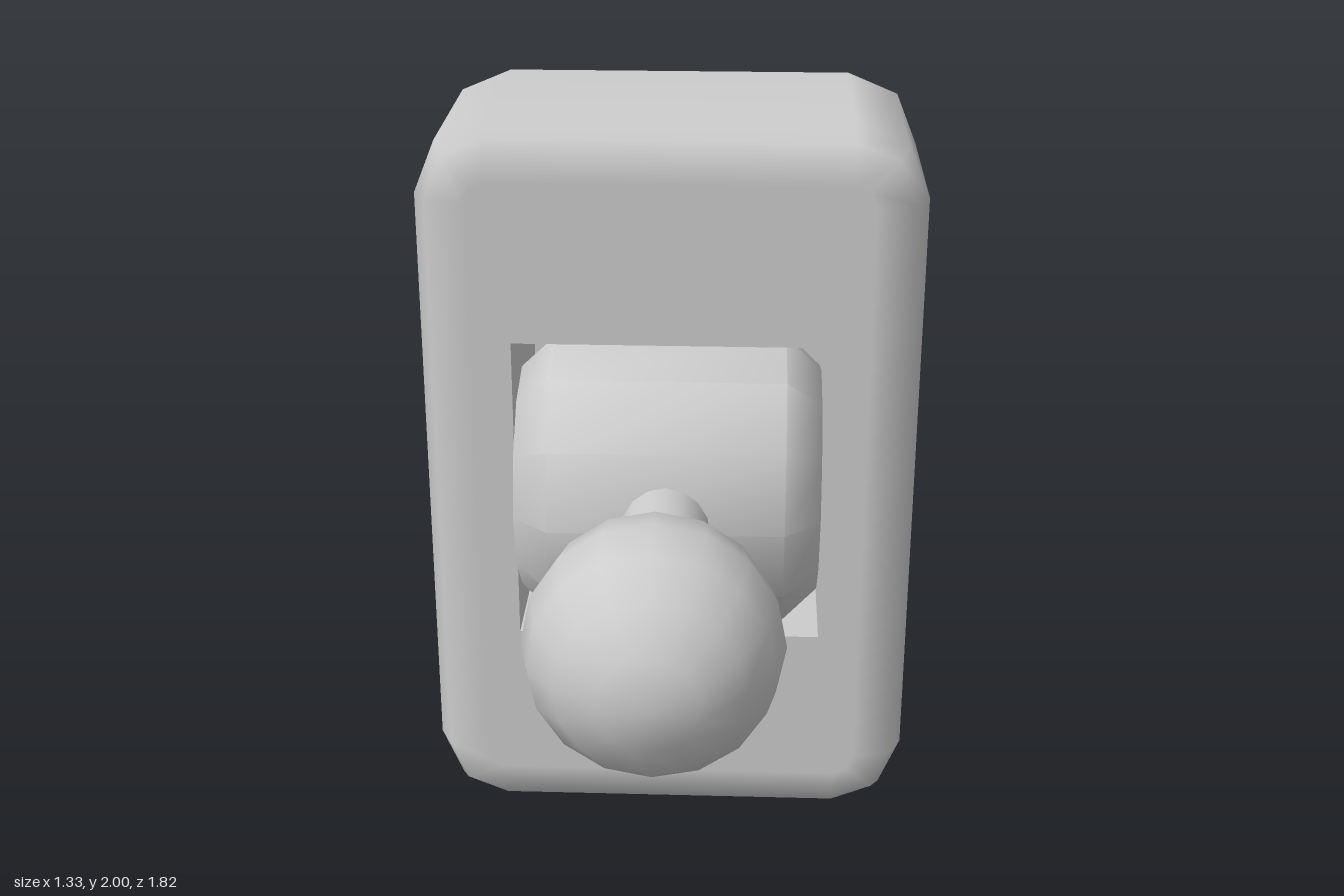
import * as THREE from 'three';
import { toCreasedNormals } from 'three/addons/utils/BufferGeometryUtils.js';

const HX = 0.665, HY = 1, CORNER = 0.195; // housing half sizes and corner radius
const BACK = -0.91, FRONT = -0.245;

// Rounded-rectangle corner points (counter-clockwise), with outward directions
function outline(radius) {
  const points = [];
  [[1, 1], [-1, 1], [-1, -1], [1, -1]].forEach(([sx, sy], quarter) => {
    for (let i = 0; i < 3; i++) {
      const a = quarter * Math.PI / 2 + i * Math.PI / 4;
      const dir = new THREE.Vector2(Math.cos(a), Math.sin(a));
      points.push({ dir, pos: new THREE.Vector2(sx * (HX - CORNER), sy * (HY - CORNER)).addScaledVector(dir, radius) });
    }
  });
  return points;
}

// Housing sides: rings swept from the back to the soft front edge
function sidesGeometry() {
  const rings = [ // radius, z, tilt of the normal towards the front
    [CORNER, BACK, 0], [CORNER, -0.345, 0.1], [CORNER - 0.035, -0.275, 0.9], [CORNER - 0.14, FRONT, Math.PI / 2],
  ];
  const positions = [], normals = [], index = [];
  rings.forEach(([radius, z, tilt], r) => {
    outline(radius).forEach(({ pos, dir }, i) => {
      positions.push(pos.x, pos.y, z);
      normals.push(dir.x * Math.cos(tilt), dir.y * Math.cos(tilt), Math.sin(tilt));
      if (r < rings.length - 1) {
        const a = r * 12 + i, b = r * 12 + (i + 1) % 12;
        index.push(a, b, b + 12, a, b + 12, a + 12);
      }
    });
  });
  const geometry = new THREE.BufferGeometry();
  geometry.setAttribute('position', new THREE.Float32BufferAttribute(positions, 3));
  geometry.setAttribute('normal', new THREE.Float32BufferAttribute(normals, 3));
  geometry.setIndex(index);
  return geometry;
}

// Open-fronted pocket: a box turned inside out, without its front face
function pocketGeometry(w, h, d) {
  const geometry = new THREE.BoxGeometry(w, h, d);
  const index = [...geometry.index.array];
  index.splice(24, 6);
  geometry.setIndex(index.reverse());
  geometry.computeVertexNormals();
  return geometry;
}

function lathe(profile, sides, creaseDegrees) {
  const points = profile.map(([r, y]) => new THREE.Vector2(r, y));
  return toCreasedNormals(new THREE.LatheGeometry(points, sides), THREE.MathUtils.degToRad(creaseDegrees));
}

export function createModel() {
  const model = new THREE.Group();
  const grey = new THREE.MeshStandardMaterial({ color: 0xcccccc });
  grey.name = 'light grey';
  const add = (name, geometry, parent, x = 0, y = 0, z = 0) => {
    const mesh = new THREE.Mesh(geometry, grey);
    mesh.name = name;
    mesh.position.set(x, y, z);
    parent.add(mesh);
    return mesh;
  };

  // Housing
  const housing = new THREE.Group();
  housing.name = 'housing';
  housing.position.y = 1;
  model.add(housing);
  add('housingSides', sidesGeometry(), housing);
  const backShape = new THREE.Shape(outline(CORNER).map(p => p.pos));
  add('housingBack', new THREE.ShapeGeometry(backShape).rotateY(Math.PI), housing, 0, 0, BACK);

  // Front face with a rectangular opening, and the pocket behind it
  const w = 0.415, h = 0.425, depth = 0.575, lift = 0.005;
  const frontShape = new THREE.Shape(outline(CORNER - 0.14).map(p => p.pos));
  frontShape.holes.push(new THREE.Path([[-w, -h], [-w, h], [w, h], [w, -h]]
    .map(([x, y]) => new THREE.Vector2(x, y + lift))));
  add('housingFront', new THREE.ShapeGeometry(frontShape), housing, 0, 0, FRONT);
  add('pocket', pocketGeometry(2 * w, 2 * h, depth), housing, 0, lift, FRONT - depth / 2);

  // Pivot barrel lying across the pocket
  const barrel = lathe([[0, -0.405], [0.31, -0.405], [0.4, -0.31], [0.4, 0.31], [0.31, 0.405], [0, 0.405]], 12, 50);
  add('pivotBarrel', barrel.rotateZ(Math.PI / 2), model, 0, 1, -0.4);

  // Lever: stem running straight into a ball knob
  const R = 0.31, profile = [[R * Math.sin(Math.PI / 8), -0.7]];
  for (let i = 1; i <= 8; i++) {
    const a = i * Math.PI / 8;
    profile.push([i === 8 ? 0 : R * Math.sin(a), -R * Math.cos(a)]);
  }
  add('leverWithBall', lathe(profile, 16, 40).rotateX(Math.PI / 2), model, 0, 1, 0.6);

  return model;
}
